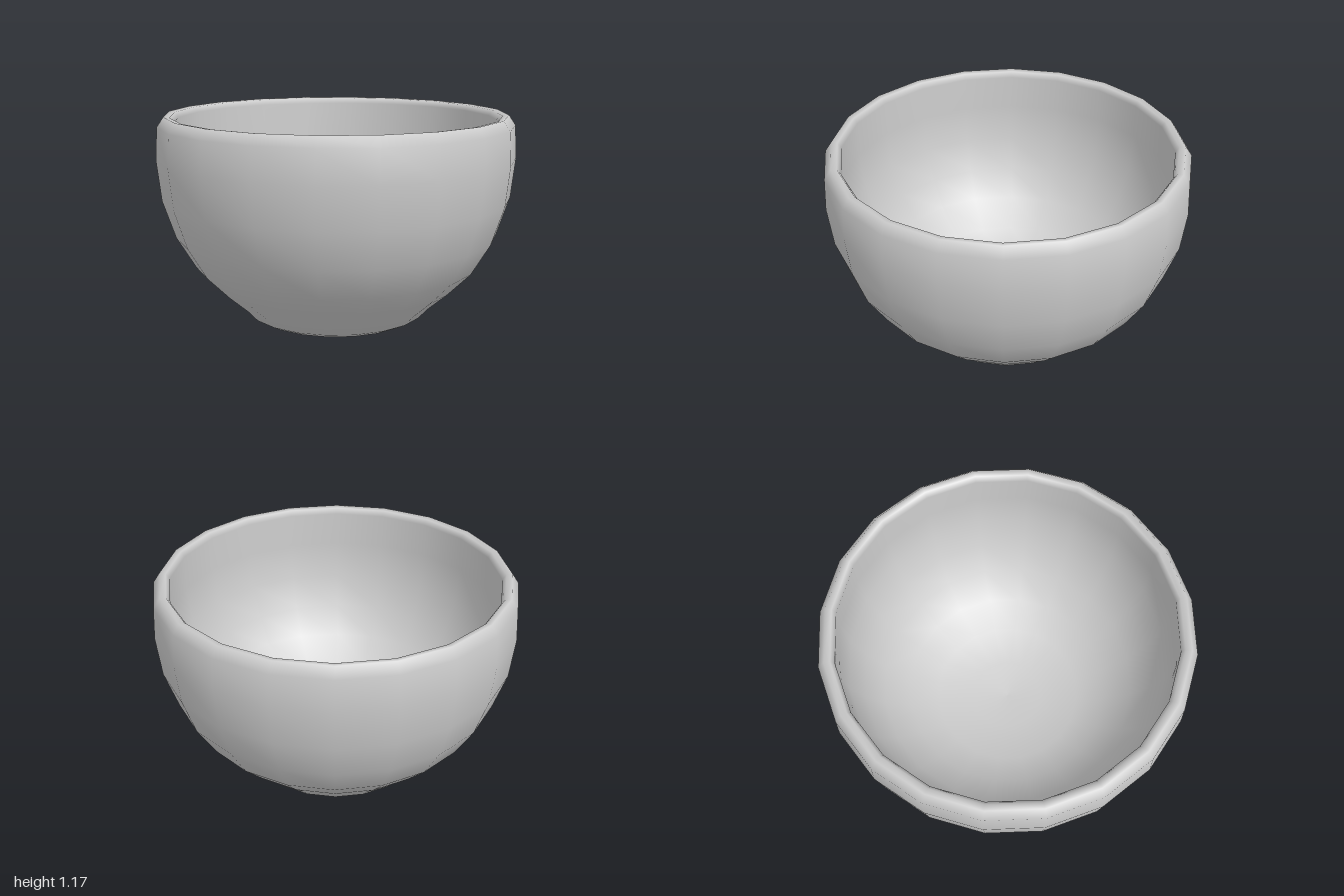
import * as THREE from 'three';

export function createModel() {
  const group = new THREE.Group();
  group.name = 'bowl';
  const material = new THREE.MeshStandardMaterial({ color: 0xcccccc });

  // Profile of the wall: under the foot, up the outside, over the rim, down the inside
  const foot = [[0, 0], [0.38, 0.003], [0.445, 0.015], [0.505, 0.045], [0.555, 0.1]];
  const outside = [[0.67, 0.2], [0.8, 0.33], [0.905, 0.505], [0.975, 0.715], [1, 0.94], [0.99, 1.12]];
  const rim = [[0.953, 1.175], [0.92, 1.17], [0.9, 1.14]];
  const inside = [[0.91, 0.94], [0.885, 0.73], [0.82, 0.545], [0.725, 0.385],
    [0.58, 0.25], [0.42, 0.165], [0.2, 0.12], [0, 0.11]];
  const profile = [...foot, ...outside, ...rim, ...inside].map(([r, y]) => new THREE.Vector2(r, y));

  // Twenty-sided turned body with smooth normals
  const body = new THREE.Mesh(new THREE.LatheGeometry(profile, 20), material);
  body.name = 'bowlBody';
  group.add(body);
  return group;
}
